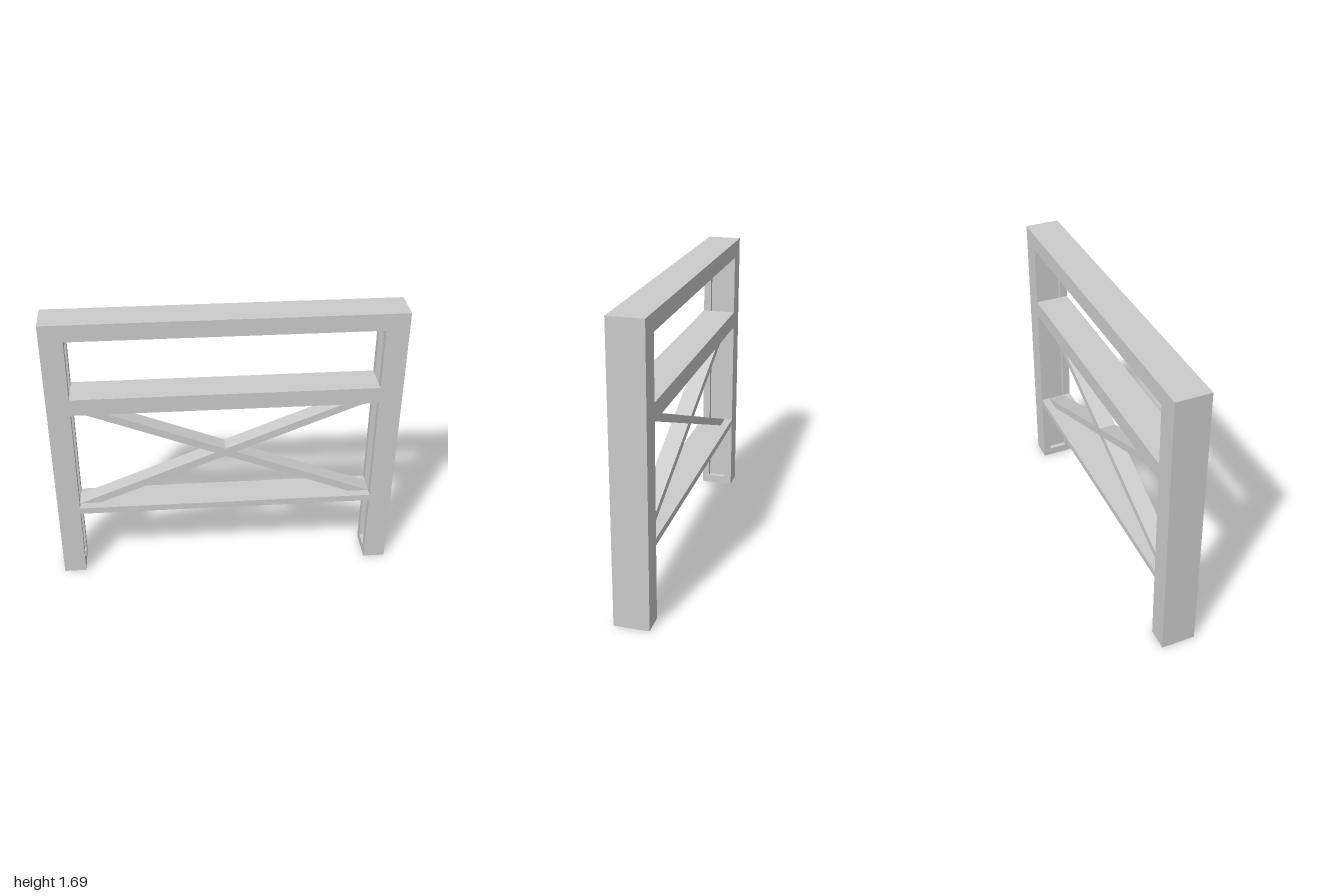
import * as THREE from 'three';

const material = new THREE.MeshStandardMaterial({ color: 0xcccccc, flatShading: true });

const DEPTH = 0.2;      // frame depth along z
const INNER = 0.87;     // x of the posts' inner faces
const RAIL_BOTTOM = 1.59;
const RECESS = 0.03;    // depth of the groove in each post

function addMesh(parent, name, geometry) {
  const mesh = new THREE.Mesh(geometry, material);
  mesh.name = name;
  parent.add(mesh);
  return mesh;
}

function addBox(parent, name, x0, x1, y0, y1) {
  const mesh = addMesh(parent, name, new THREE.BoxGeometry(x1 - x0, y1 - y0, DEPTH));
  mesh.position.set((x0 + x1) / 2, (y0 + y1) / 2, 0);
  return mesh;
}

function polygon(points, Type = THREE.Shape) {
  return new Type(points.map(([x, y]) => new THREE.Vector2(x, y)));
}

function rectangle(halfWidth, y0, y1) {
  return [[-halfWidth, y0], [halfWidth, y0], [halfWidth, y1], [-halfWidth, y1]];
}

// Post standing on +x, with a long shallow recess in its inner face
function createPost(name) {
  const post = new THREE.Group();
  post.name = name;
  addBox(post, 'postCore', INNER + RECESS, 1, 0, RAIL_BOTTOM);

  const face = polygon(rectangle(DEPTH / 2, 0, RAIL_BOTTOM));
  face.holes.push(polygon(rectangle(0.055, 0.05, 1.54).reverse(), THREE.Path));
  const geometry = new THREE.ExtrudeGeometry(face, { depth: RECESS, bevelEnabled: false });
  geometry.rotateY(Math.PI / 2);
  geometry.translate(INNER, 0, 0);
  addMesh(post, 'recessedFace', geometry);
  return post;
}

export function createModel() {
  const model = new THREE.Group();
  model.name = 'crossBracedFrame';

  // Posts: the right one is the left one turned about y
  const leftPost = createPost('leftPost');
  const rightPost = createPost('rightPost');
  rightPost.rotation.y = Math.PI;
  model.add(leftPost, rightPost);

  // Horizontal rails
  addBox(model, 'topRail', -1, 1, RAIL_BOTTOM, 1.69);
  addBox(model, 'middleRail', -INNER, INNER, 1.13, 1.23);
  addBox(model, 'lowerRail', -INNER, INNER, 0.44, 0.48);

  // Crossed braces, cut flush against the rails
  const brace = polygon([[-INNER, 0.48], [-0.75, 0.48], [INNER, 1.13], [0.75, 1.13]]);
  for (const name of ['risingBrace', 'fallingBrace']) {
    const geometry = new THREE.ExtrudeGeometry(brace, { depth: 0.1, bevelEnabled: false });
    geometry.translate(0, 0, -0.05);
    const mesh = addMesh(model, name, geometry);
    if (name === 'fallingBrace') mesh.rotation.y = Math.PI;
  }

  return model;
}
